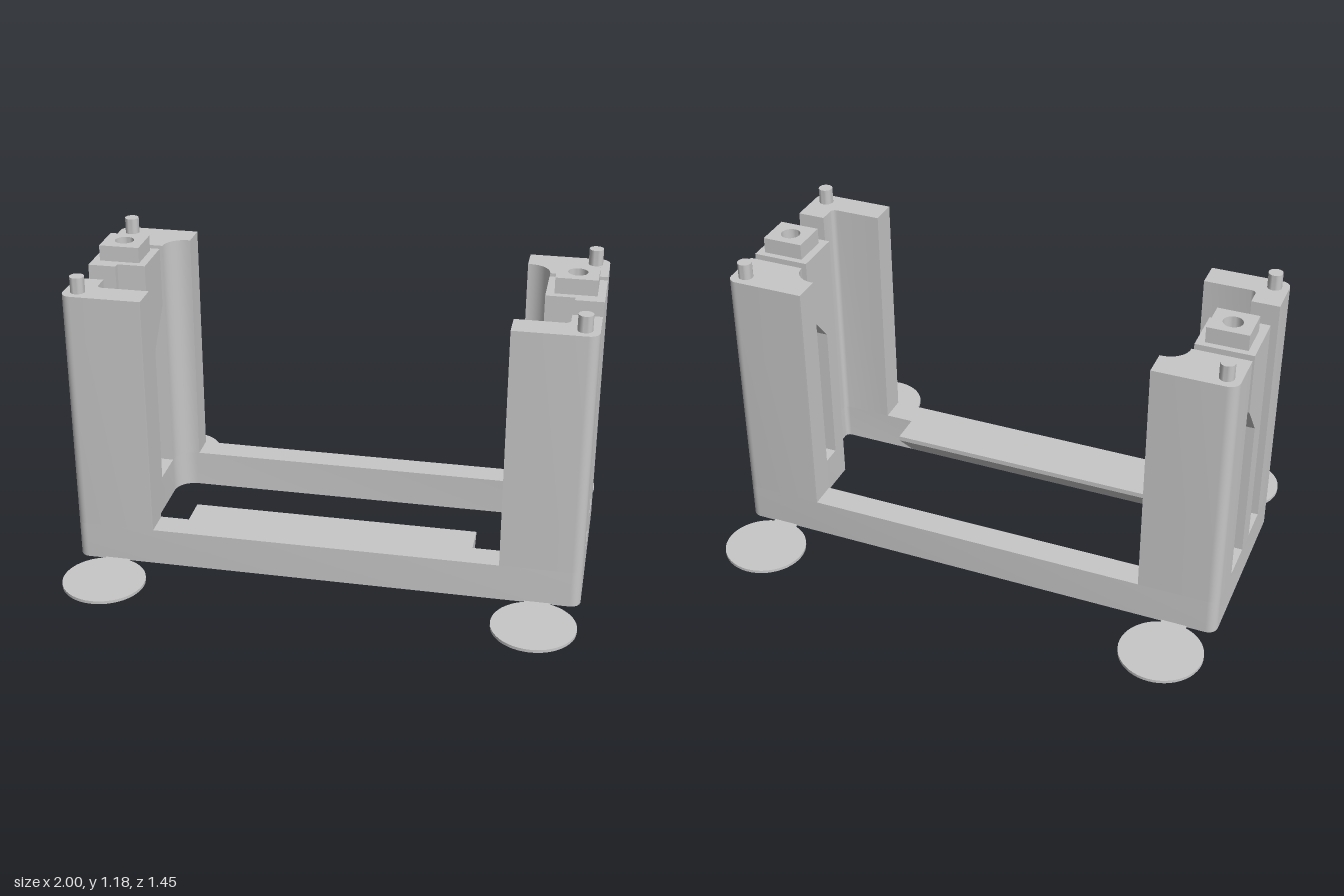
import * as THREE from 'three';
import { toCreasedNormals } from 'three/addons/utils/BufferGeometryUtils.js';

const BASE = 0.15, TOP = 1.122, PEG_TOP = 1.185;
const BORE = { x: 0.89, z: -0.07, r: 0.058 };

// Points of an arc in plan (x, z), angles in degrees
function arc(cx, cz, r, from, to, n = 8) {
  return Array.from({ length: n + 1 }, (_, i) => {
    const a = THREE.MathUtils.degToRad(from + (to - from) * i / n);
    return [cx + r * Math.cos(a), cz + r * Math.sin(a)];
  });
}

const mirror = (pts, s) => pts.map(([x, z]) => [x * s, z]);

// Plan outline (x, z) pulled straight up from y0 to y1;
// outlines run anticlockwise and holes clockwise so every wall faces outwards
function prism(outline, y0, y1, holes = []) {
  const wind = (pts, clockwise) => {
    const flat = pts.map(([x, z]) => new THREE.Vector2(x, -z));
    return THREE.ShapeUtils.isClockWise(flat) === clockwise ? flat : flat.reverse();
  };
  const shape = new THREE.Shape(wind(outline, false));
  for (const h of holes) shape.holes.push(new THREE.Path(wind(h, true)));
  const geo = new THREE.ExtrudeGeometry(shape, { depth: y1 - y0, bevelEnabled: false });
  geo.rotateX(-Math.PI / 2);
  geo.translate(0, y0, 0);
  return geo;
}

export function createModel() {
  const group = new THREE.Group();
  const grey = new THREE.MeshStandardMaterial({ color: 0xc7c7c7 });
  grey.name = 'plain grey';

  const add = (name, geo) => {
    const mesh = new THREE.Mesh(toCreasedNormals(geo, 0.6), grey);
    mesh.name = name;
    group.add(mesh);
    return mesh;
  };

  const rearCorner = arc(0.96, -0.35, 0.04, -90, 0);
  const frontCorner = arc(0.96, 0.35, 0.04, 0, 90);
  const rearFillet = arc(0.695, -0.2, 0.083, -90, 0);
  const frontFillet = arc(0.87, 0.26, 0.02, 0, 90, 4);

  // Base frame: half outlines joined with their mirror image
  const both = half => [...half, ...mirror(half, -1).reverse()];
  const outer = both([...rearCorner, ...frontCorner]);
  const opening = both([...rearFillet, [0.778, 0.033], [0.89, 0.033], ...frontFillet]);
  const bore = s => arc(s * BORE.x, BORE.z, BORE.r, 0, 345, 23);
  add('baseFrame', prism(outer, 0, BASE, [opening, bore(1), bore(-1)]));

  // Ledge behind the front rail, sloped underneath
  const ledgeShape = new THREE.Shape([[-0.28, 0], [-0.28, BASE], [-0.155, BASE], [-0.155, 0.13]]
    .map(([x, y]) => new THREE.Vector2(x, y)));
  const ledge = new THREE.ExtrudeGeometry(ledgeShape, { depth: 1.14, bevelEnabled: false });
  ledge.translate(0, 0, -0.57);
  ledge.rotateY(Math.PI / 2);
  add('frontLedge', ledge);

  // Plans of the posts on the +x side
  const rearPost = [[1, -0.2], [0.778, -0.2], ...[...rearFillet].reverse(),
    [0.685, -0.283], [0.685, -0.39], ...rearCorner];
  const frontPost = [[1, 0.2], [0.89, 0.2], ...frontFillet,
    [0.685, 0.28], [0.685, 0.39], ...[...frontCorner].reverse()];
  const cut = THREE.MathUtils.radToDeg(Math.asin(0.03 / BORE.r));
  const column = [[1, 0.058], [0.89, 0.058], [0.89, 0.033], [0.778, 0.033], [0.778, -0.04],
    ...arc(BORE.x, BORE.z, BORE.r, 180 - cut, cut, 10), [1, -0.04]];
  const overhang = [[0.778, -0.165], [1, -0.165], [1, -0.04],
    ...arc(BORE.x, BORE.z, BORE.r, cut, -180 - cut, 16), [0.778, -0.04]];

  for (const s of [1, -1]) {
    const side = s > 0 ? 'left' : 'right';
    add(side + 'RearPost', prism(mirror(rearPost, s), BASE, TOP));
    add(side + 'FrontPost', prism(mirror(frontPost, s), BASE, TOP));
    add(side + 'Column', prism(mirror(column, s), BASE, TOP));

    // Overhang behind the column: its underside rises towards the back
    const geo = prism(mirror(overhang, s), 0.73, TOP);
    const p = geo.attributes.position;
    for (let i = 0; i < p.count; i++) {
      if (p.getY(i) < 0.8) p.setY(i, 0.73 + Math.max(0, -0.04 - p.getZ(i)) * 1.2);
    }
    geo.computeVertexNormals();
    add(side + 'ColumnOverhang', geo);

    // Square collar with a narrower hole
    const collar = [[0.81, -0.14], [0.97, -0.14], [0.97, 0.005], [0.81, 0.005]];
    add(side + 'Collar', prism(mirror(collar, s), TOP, PEG_TOP,
      [arc(s * BORE.x, BORE.z, 0.038, 0, 345, 23)]));

    // Locating pegs, feet discs and the thin tabs that hold them
    for (const t of [1, -1]) {
      const end = side + (t > 0 ? 'Front' : 'Rear');
      const peg = new THREE.CylinderGeometry(0.028, 0.028, PEG_TOP - TOP, 24);
      add(end + 'Peg', peg).position.set(s * 0.945, (TOP + PEG_TOP) / 2, t * 0.335);
      const disc = new THREE.CylinderGeometry(0.162, 0.162, 0.012, 48);
      add(end + 'FootDisc', disc).position.set(s * 0.838, 0.006, t * 0.563);
      const tab = new THREE.BoxGeometry(0.1, 0.005, 0.04);
      add(end + 'FootTab', tab).position.set(s * 0.838, 0.0025, t * 0.405);
    }
  }
  return group;
}
